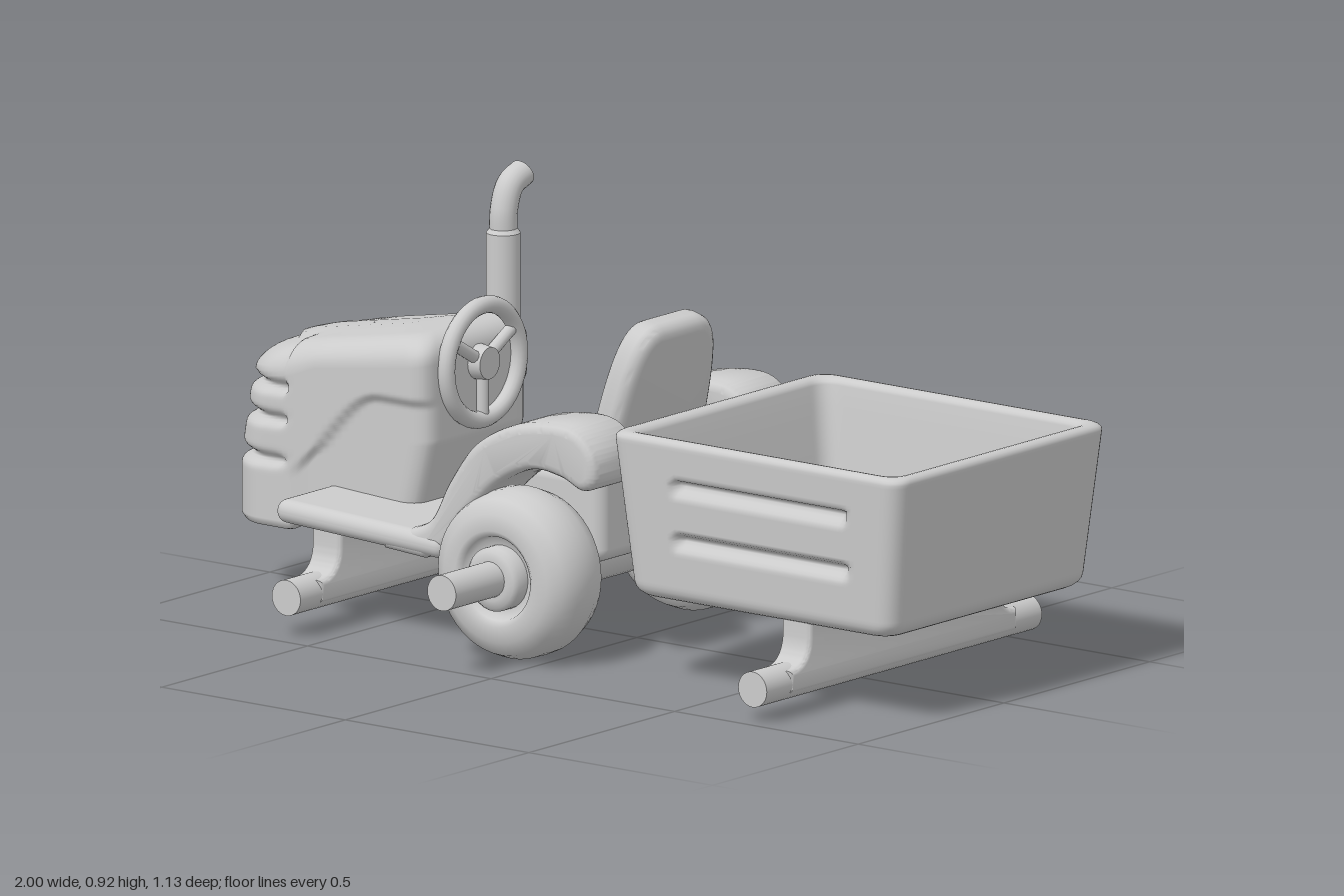
import * as THREE from 'three';
import { toCreasedNormals } from 'three/addons/utils/BufferGeometryUtils.js';
import { RoundedBoxGeometry } from 'three/addons/geometries/RoundedBoxGeometry.js';

const grey = new THREE.MeshStandardMaterial({ color: 0xcccccc });
const thin = new THREE.MeshStandardMaterial({ color: 0xcccccc, side: THREE.DoubleSide });
const { smoothstep, lerp } = THREE.MathUtils;

function add(parent, name, geometry, x = 0, y = 0, z = 0, material = grey) {
  const mesh = new THREE.Mesh(geometry, material);
  mesh.name = name;
  mesh.position.set(x, y, z);
  parent.add(mesh);
  return mesh;
}

// Closed rings stacked into one smooth skin; point(u, row) gives [x, y, z]
function loft(n, rows, point) {
  const pos = [], index = [];
  for (let j = 0; j < rows; j++) {
    for (let i = 0; i < n; i++) {
      pos.push(...point(i / n, j));
      if (j === rows - 1) continue;
      const a = j * n + i, b = j * n + (i + 1) % n;
      index.push(a, a + n, b, b, a + n, b + n);
    }
  }
  const g = new THREE.BufferGeometry();
  g.setAttribute('position', new THREE.Float32BufferAttribute(pos, 3));
  g.setIndex(index);
  g.computeVertexNormals();
  return g;
}

// Point on a rounded rectangle, u from 0 to 1; radius may differ at the two x ends
function roundRect(u, hx, hz, rNeg, rPos) {
  hx = Math.max(hx, 0.001);
  hz = Math.max(hz, 0.001);
  const side = Math.floor(u * 4), f = (u * 4 - side) * 2 - 1;
  const [sx, sz] = [[1, f], [-f, 1], [-1, -f], [f, -1]][side];
  const px = sx * hx, pz = sz * hz;
  const r = Math.min(px < 0 ? rNeg : rPos, hx, hz);
  const qx = Math.max(r - hx, Math.min(hx - r, px));
  const qz = Math.max(r - hz, Math.min(hz - r, pz));
  const l = Math.hypot(px - qx, pz - qz) || 1;
  return [qx + (px - qx) / l * r, qz + (pz - qz) / l * r];
}

// Bevelled extrusion, centred on its depth
function slab(shape, depth, bevel) {
  const g = new THREE.ExtrudeGeometry(shape, {
    depth: depth - 2 * bevel, bevelThickness: bevel, bevelSize: bevel,
    bevelOffset: -bevel, bevelSegments: 4, curveSegments: 16,
  });
  g.translate(0, 0, bevel - depth / 2);
  return toCreasedNormals(g, 0.7);
}

const rod = (r, length) => new THREE.CylinderGeometry(r, r, length, 28).rotateX(Math.PI / 2);
const v2 = pts => pts.map(p => new THREE.Vector2(...p));

function buildHood() {
  const rows = [[0, 0.3], [0, 0.2], [0, 0.1], [0, 0.02], [0.008, 0.006]];
  for (let i = 1; i <= 60; i++) rows.push([0.02 + 0.8 * i / 60, 0]);
  for (let i = 1; i <= 9; i++) {
    const a = i / 9 * Math.PI / 2;
    rows.push([0.82 + 0.16 * Math.sin(a), 0.07 * (1 - Math.cos(a))]);
  }
  rows.push([0.99, 0.11], [1, 0.15], [1, 0.3]);
  return loft(128, rows.length, (u, j) => {
    const [t, d] = rows[j];
    let [x, z] = roundRect(u, 0.285 - d, 0.182 - d, 0.1, 0.04);
    if (x < 0) x += 0.9 * z * z * smoothstep(-x, 0.1, 0.285);
    x -= 0.715;
    const bottom = lerp(0.16, 0.25, smoothstep(x, -0.81, -0.72));
    const top = 0.55 + 0.18 * (x + 0.98);
    const y = lerp(bottom, top, t);
    const nose = 1 - smoothstep(x, -0.86, -0.8);
    // Grille grooves across the nose
    let groove = 0;
    for (const c of [0.31, 0.4, 0.472]) groove += Math.exp(-(((y - c) / 0.013) ** 2));
    if (d < 0.1) {
      x += nose * (0.024 * groove + 0.17 * Math.max(0, y - 0.3));
      z *= 1 - nose * 0.09 * groove;
    }
    // Recessed lower side panel and flared rear
    const line = lerp(0.3, 0.49, smoothstep(x, -0.82, -0.56));
    z *= 1 - 0.07 * smoothstep(x, -0.8, -0.76) * (1 - smoothstep(y, line - 0.015, line + 0.01));
    z *= 1 + 0.05 * smoothstep(x, -0.9, -0.5);
    if (x > -0.6) x -= 0.25 * Math.max(0, 0.4 - y) * smoothstep(x, -0.6, -0.45);
    return [x, y, z];
  });
}

function buildTrailerTub() {
  const rows = [[0.2, 0.4], [0.2, 0.2], [0.2, 0.05]];
  for (let i = 0; i <= 5; i++) {
    const a = i / 5 * Math.PI / 2;
    rows.push([0.23 - 0.03 * Math.cos(a), 0.03 * (1 - Math.sin(a))]);
  }
  for (let i = 1; i <= 44; i++) rows.push([0.23 + 0.315 * i / 44, 0]);
  for (let i = 1; i <= 8; i++) {
    const a = i / 8 * Math.PI;
    rows.push([0.545 + 0.015 * Math.sin(a), 0.02 * (1 - Math.cos(a))]);
  }
  rows.push([0.5, 0.044], [0.4, 0.05], [0.29, 0.055], [0.265, 0.06], [0.25, 0.08], [0.25, 0.2], [0.25, 0.4]);
  return loft(256, rows.length, (u, j) => {
    const [y, d] = rows[j], t = (y - 0.2) / 0.36;
    let [x, z] = roundRect(u, 0.355 + 0.04 * t - d, 0.342 + 0.024 * t - d, 0.04, 0.04);
    // Louvre slots pressed into both long sides
    if (d === 0 && Math.abs(z) > 0.32) {
      for (const c of [0.455, 0.335]) {
        const along = 1 - smoothstep(Math.abs(x - 0.01), 0.225, 0.24);
        const h = smoothstep(y, c - 0.025, c + 0.008) * (1 - smoothstep(y, c + 0.01, c + 0.022));
        z -= Math.sign(z) * 0.025 * along * h;
      }
    }
    return [x + 0.605, y, z];
  });
}

// Cross rod hanging from an upright web with flared feet
function buildSkid(name, x, y, top, half) {
  const g = new THREE.Group();
  g.name = name;
  const s = new THREE.Shape();
  s.moveTo(-0.39, y - 0.02);
  s.lineTo(-0.39, y + 0.03);
  s.quadraticCurveTo(-0.33, y + 0.03, -0.325, y + 0.09);
  s.lineTo(-0.325, top);
  s.lineTo(0.325, top);
  s.lineTo(0.325, y + 0.09);
  s.quadraticCurveTo(0.33, y + 0.03, 0.39, y + 0.03);
  s.lineTo(0.39, y - 0.02);
  add(g, 'skidWeb', slab(s, 0.08, 0.012).rotateY(Math.PI / 2), x);
  add(g, 'skidRod', rod(0.039, 2 * half), x, y);
  return g;
}

export function createModel() {
  const model = new THREE.Group();
  const tractor = new THREE.Group(), trailer = new THREE.Group();
  tractor.name = 'tractor';
  trailer.name = 'trailer';
  model.add(tractor, trailer);

  add(tractor, 'hood', buildHood());

  // Footboard
  const board = add(tractor, 'footboard', new RoundedBoxGeometry(0.46, 0.052, 0.71, 5, 0.025), -0.48, 0.24);
  board.rotation.z = -0.045;

  // Body and seat
  add(tractor, 'rearBody', new RoundedBoxGeometry(0.35, 0.2, 0.39, 4, 0.03), -0.12, 0.31);
  add(tractor, 'seatCushion', new RoundedBoxGeometry(0.33, 0.08, 0.33, 4, 0.03), -0.13, 0.395);
  const back = new THREE.Shape();
  back.moveTo(-0.165, 0);
  back.bezierCurveTo(-0.165, 0.25, -0.14, 0.345, -0.06, 0.345);
  back.lineTo(0.06, 0.345);
  back.bezierCurveTo(0.14, 0.345, 0.165, 0.25, 0.165, 0);
  const backrest = add(tractor, 'backrest', slab(back, 0.075, 0.028).rotateY(Math.PI / 2), 0.008, 0.39);
  backrest.rotation.z = -0.25;

  // Fenders and rear wheels
  const fender = new THREE.Shape();
  fender.moveTo(-0.42, 0.262);
  fender.lineTo(-0.35, 0.26);
  fender.splineThru(v2([[-0.29, 0.29], [-0.24, 0.38], [-0.17, 0.47], [-0.07, 0.525], [0.04, 0.545],
    [0.11, 0.535], [0.155, 0.49], [0.158, 0.43], [0.12, 0.408], [0.06, 0.43], [-0.02, 0.435],
    [-0.11, 0.39], [-0.19, 0.31], [-0.25, 0.23], [-0.31, 0.2]]));
  fender.lineTo(-0.42, 0.207);
  const tyre = v2([[0.06, -0.08], [0.1, -0.09], [0.14, -0.085], [0.17, -0.066], [0.184, -0.03], [0.185, 0],
    [0.184, 0.03], [0.17, 0.066], [0.14, 0.085], [0.105, 0.09], [0.092, 0.08], [0.086, 0.06], [0.06, 0.06]]);
  const hub = v2([[0, 0.055], [0.07, 0.055], [0.07, 0.09], [0.062, 0.1], [0.045, 0.102], [0, 0.102]]);
  for (const s of [1, -1]) {
    add(tractor, 'fender', slab(fender, 0.165, 0.022), 0, 0, s * 0.268);
    const wheel = new THREE.Group();
    wheel.name = 'rearWheel';
    wheel.position.set(-0.083, 0.195, s * 0.297);
    wheel.rotation.y = s > 0 ? 0 : Math.PI;
    add(wheel, 'tyre', new THREE.LatheGeometry(tyre, 48).rotateX(Math.PI / 2), 0, 0, 0, thin);
    add(wheel, 'hub', toCreasedNormals(new THREE.LatheGeometry(hub, 32).rotateX(Math.PI / 2), 0.8), 0, 0, 0, thin);
    tractor.add(wheel);
  }
  add(tractor, 'rearAxle', rod(0.039, 1.13), -0.083, 0.197);
  add(tractor, 'axleHousing', rod(0.065, 0.46), -0.083, 0.197);
  tractor.add(buildSkid('frontAxle', -0.59, 0.095, 0.225, 0.46));

  // Exhaust stack
  add(tractor, 'exhaustStack', new THREE.CylinderGeometry(0.037, 0.037, 0.54, 28), -0.54, 0.51, -0.222);
  add(tractor, 'exhaustCollar', new THREE.CylinderGeometry(0.028, 0.037, 0.012, 28), -0.54, 0.786, -0.222);
  const bend = new THREE.CatmullRomCurve3([[0.77, -0.222], [0.83, -0.224], [0.88, -0.245], [0.9, -0.288]]
    .map(([y, z]) => new THREE.Vector3(-0.54, y, z)));
  add(tractor, 'exhaustTip', new THREE.TubeGeometry(bend, 24, 0.03, 20), 0, 0, 0, thin);

  // Steering wheel
  const steering = new THREE.Group();
  steering.name = 'steeringWheel';
  steering.position.set(-0.42, 0.553, 0);
  add(steering, 'rim', new THREE.TorusGeometry(0.125, 0.019, 14, 48).rotateY(Math.PI / 2));
  add(steering, 'steeringHub', new THREE.CylinderGeometry(0.035, 0.04, 0.04, 24).rotateZ(-Math.PI / 2));
  for (let i = 0; i < 3; i++) {
    const spoke = add(steering, 'spoke', new THREE.CylinderGeometry(0.014, 0.014, 0.12, 12).translate(0, -0.06, 0));
    spoke.rotation.x = i * Math.PI * 2 / 3;
  }
  add(steering, 'column', new THREE.CylinderGeometry(0.025, 0.025, 0.08, 16).rotateZ(Math.PI / 2), -0.04);
  tractor.add(steering);

  // Trailer
  add(trailer, 'tub', buildTrailerTub());
  trailer.add(buildSkid('trailerAxle', 0.69, 0.08, 0.215, 0.472));
  return model;
}
